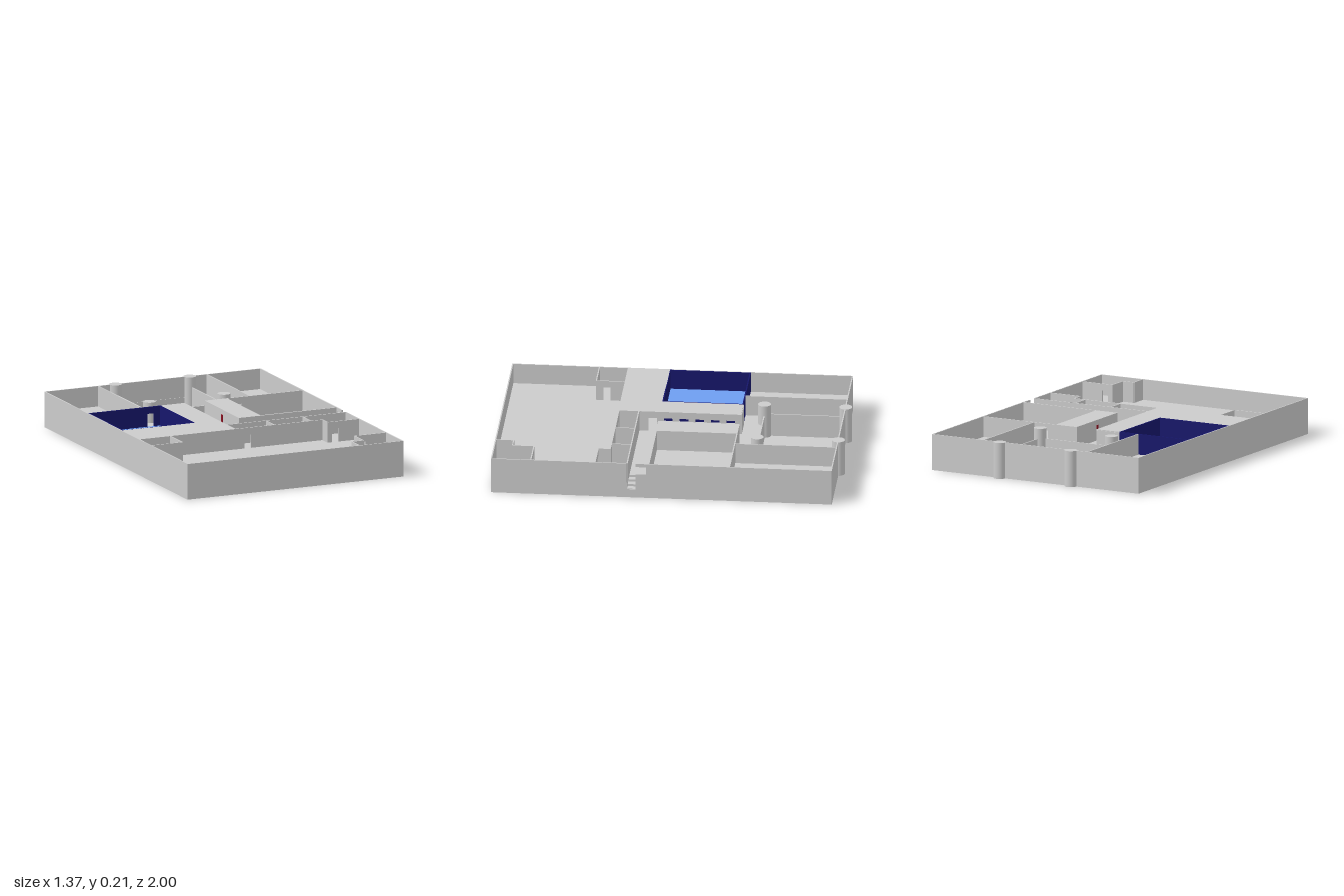
import * as THREE from 'three';

const FLOOR = 0.09, TOP = 0.21, T = 0.007;
const grey = new THREE.MeshStandardMaterial({ color: 0xcccccc });
const navy = new THREE.MeshStandardMaterial({ color: 0x16166b });
const blue = new THREE.MeshStandardMaterial({ color: 0x6e9df0 });
const red = new THREE.MeshStandardMaterial({ color: 0x8b1020 });

export function createModel() {
  const model = new THREE.Group();
  model.name = 'floorPlan';

  const add = (name, geometry, material = grey) => {
    const mesh = new THREE.Mesh(geometry, material);
    mesh.name = name;
    model.add(mesh);
    return mesh;
  };

  // Box given by its limits
  const block = (name, x0, x1, y0, y1, z0, z1, material) => add(name,
    new THREE.BoxGeometry(x1 - x0, y1 - y0, z1 - z0)
      .translate((x0 + x1) / 2, (y0 + y1) / 2, (z0 + z1) / 2), material);

  // Flat slab from a plan outline of [x, z] points
  const slab = (name, points, y0, y1, holes = []) => {
    const toVectors = (list) => list.map(([x, z]) => new THREE.Vector2(x, -z));
    const shape = new THREE.Shape(toVectors(points));
    holes.forEach((h) => shape.holes.push(new THREE.Path(toVectors(h))));
    return add(name, new THREE.ExtrudeGeometry(shape, { depth: y1 - y0, bevelEnabled: false })
      .rotateX(-Math.PI / 2).translate(0, y0, 0));
  };

  // Straight wall; doors are centre distances along it
  const wall = (name, x0, z0, x1, z1, { doors = [], width = 0.04, doorTop = 0.17,
    y0 = FLOOR, y1 = TOP, material = grey } = {}) => {
    const length = Math.hypot(x1 - x0, z1 - z0);
    const shape = new THREE.Shape();
    shape.moveTo(0, y0);
    for (const d of doors) {
      shape.lineTo(d - width / 2, y0);
      shape.lineTo(d - width / 2, doorTop);
      shape.lineTo(d + width / 2, doorTop);
      shape.lineTo(d + width / 2, y0);
    }
    shape.lineTo(length, y0);
    shape.lineTo(length, y1);
    shape.lineTo(0, y1);
    return add(name, new THREE.ExtrudeGeometry(shape, { depth: T, bevelEnabled: false })
      .translate(0, 0, -T / 2)
      .rotateY(-Math.atan2(z1 - z0, x1 - x0))
      .translate(x0, 0, z0), material);
  };

  // Base plate and raised floor, cut out for the courtyard and the stairs
  block('basePlate', -0.683, 0.683, 0, 0.015, -0.965, 1);
  slab('floor',
    [[-0.68, -0.962], [0.68, -0.962], [0.68, 0.155], [0.53, 0.155], [0.53, 0.215],
      [0.68, 0.215], [0.68, 0.997], [-0.68, 0.997]],
    0.015, FLOOR,
    [[[-0.235, -0.955], [0.235, -0.955], [0.235, -0.495], [-0.235, -0.495]]]);

  // Perimeter walls, the right one with the stair opening
  block('leftOuterWall', 0.676, 0.683, 0, TOP, -0.965, 0.105);
  block('stairWallBelow', 0.676, 0.683, 0, 0.145, 0.105, 0.165);
  block('stairWallAbove', 0.676, 0.683, 0.19, TOP, 0.105, 0.165);
  block('stairSill', 0.676, 0.683, 0, 0.05, 0.165, 0.22);
  block('leftOuterWallFront', 0.676, 0.683, 0, TOP, 0.22, 1);
  block('rightOuterWall', -0.683, -0.676, 0, TOP, -0.965, 1);
  block('frontOuterWall', -0.683, 0.683, 0, TOP, 0.993, 1);
  block('backOuterWall', -0.683, 0.683, 0, TOP, -0.965, -0.958);

  // Courtyard with four columns and low side walls
  for (const x of [-0.235, 0.235]) {
    for (const z of [-0.963, -0.495]) {
      add('column', new THREE.CylinderGeometry(0.037, 0.037, TOP, 32).translate(x, TOP / 2, z));
    }
    wall('courtyardSideWall', x, -0.96, x, -0.495, { y0: 0.015, y1: 0.15 });
  }
  wall('courtyardFrontWall', -0.235, -0.495, 0.235, -0.495, { y0: 0.015, y1: 0.15 });
  for (const x of [-0.343, 0.343]) wall('backRoomWall', x, -0.96, x, -0.375);

  // Pool room
  block('poolFloor', -0.676, -0.22, FLOOR, FLOOR + 0.004, -0.37, 0.09, blue);
  wall('poolBackWall', -0.676, -0.372, -0.22, -0.372, { doors: [0.39], material: navy });
  wall('poolFrontWall', -0.676, 0.09, -0.22, 0.09, { material: navy });
  wall('poolInnerWall', -0.223, -0.372, -0.223, 0.09, { material: navy });
  wall('poolOuterWall', -0.673, -0.372, -0.673, 0.09, { material: navy });

  // Raised deck around the pool with a row of openings below
  slab('deck', [[-0.68, 0.09], [-0.22, 0.09], [-0.22, -0.375], [-0.07, -0.375],
    [-0.07, 0.33], [-0.68, 0.33]], 0.2, TOP);
  wall('deckBackWall', -0.22, -0.375, -0.07, -0.375, { y1: 0.205 });
  wall('deckColonnade', -0.073, -0.375, -0.073, 0.33,
    { doors: [0.06, 0.15, 0.24, 0.33, 0.42, 0.51], width: 0.05 });

  // Enclosed block with a small panel, and the open room beside it
  block('enclosedBlock', 0.06, 0.2, FLOOR, TOP, -0.378, 0.093);
  block('smallPanel', 0.057, 0.06, 0.13, 0.18, -0.15, -0.13, red);
  wall('middleRoomBackWall', 0.2, -0.375, 0.68, -0.375, { doors: [0.07] });
  wall('middleRoomFrontWall', 0.2, 0.09, 0.68, 0.09);

  // Walls between corridor and front hall
  wall('corridorWall', -0.07, 0.215, 0.68, 0.215);
  wall('hallBackWall', -0.68, 0.33, 0.48, 0.33, { doors: [0.685] });
  wall('smallRoomWall', 0.175, 0.215, 0.175, 0.33);
  wall('sideRoomWall', 0.407, 0.215, 0.407, 0.33);
  wall('sideRoomReturn', 0.48, 0.33, 0.48, 0.4);
  wall('sideRoomFrontWall', 0.48, 0.4, 0.68, 0.4, { doors: [0.045] });

  // Corner closets of the front hall
  wall('closetFrontWall', -0.68, 0.497, -0.483, 0.497);
  wall('closetSideWall', -0.483, 0.33, -0.483, 0.497, { doors: [0.105] });
  wall('cornerRoomBackWall', 0.48, 0.77, 0.68, 0.77, { doors: [0.045] });
  wall('cornerRoomSide', 0.48, 0.77, 0.48, 0.893);
  wall('cornerRoomStep', 0.407, 0.893, 0.48, 0.893);
  wall('cornerRoomInnerSide', 0.407, 0.893, 0.407, 0.997);

  // Two flights of stairs: one down to the side entrance, one up
  for (let i = 0; i < 4; i++) {
    const x0 = 0.53 + i * 0.038, x1 = Math.min(x0 + 0.038, 0.68);
    block('lowerStep', x0, x1, 0.015, 0.09 - i * 0.0125, 0.155, 0.215);
    block('upperStep', x0, x1, FLOOR, 0.105 + i * 0.0133, 0.093, 0.155);
  }
  return model;
}
